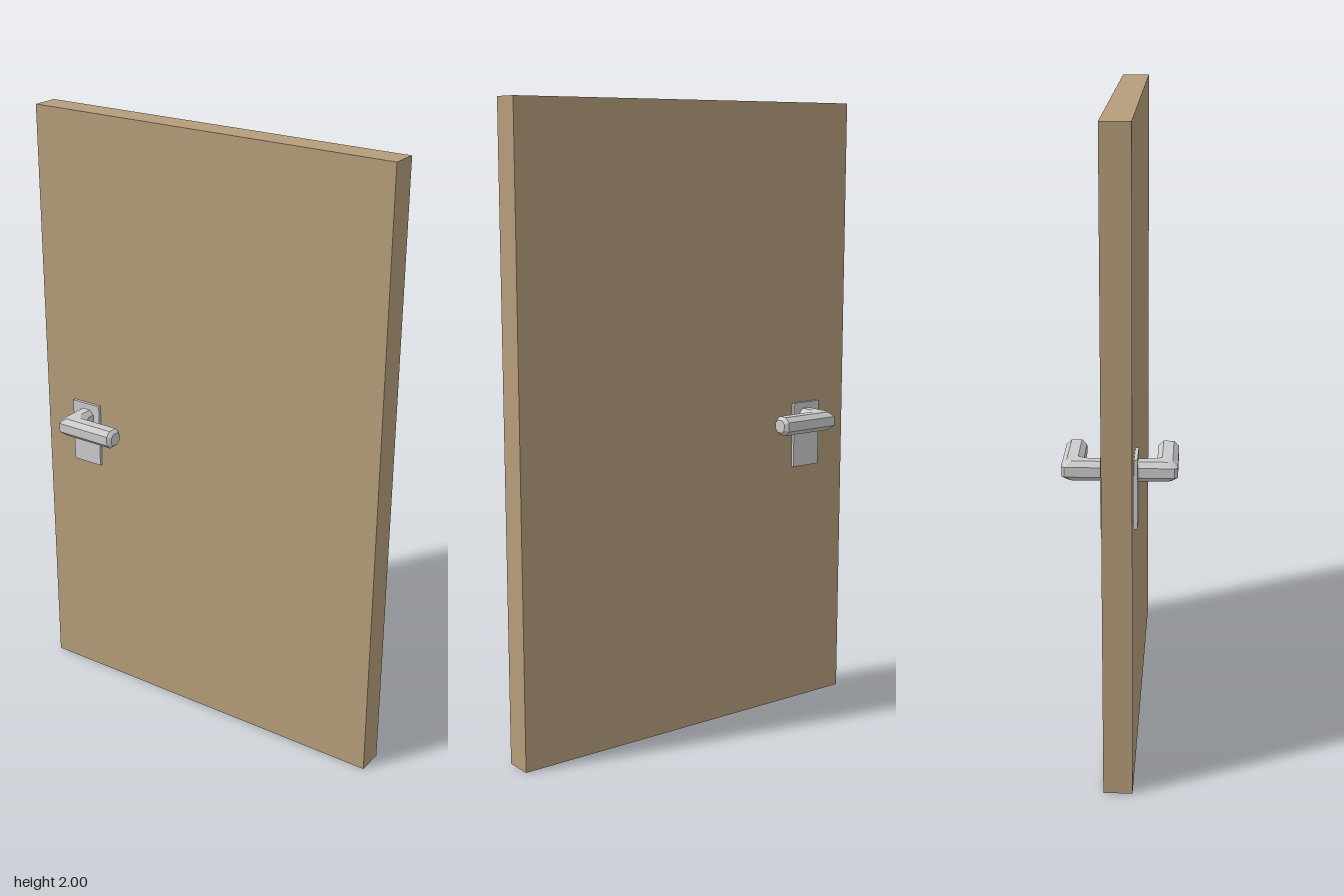
import * as THREE from 'three';

const wood = new THREE.MeshStandardMaterial({ color: 0xb59d7a });
const metal = new THREE.MeshStandardMaterial({ color: 0xcccccc, flatShading: true });

// Chamfered cross-section: [across, up], each from -1 to 1
const SECTION = [[1, -0.5], [1, 0.5], [0.5, 1], [-0.5, 1], [-1, 0.5], [-1, -0.5], [-0.5, -1], [0.5, -1]];

// Bent bar through stations [outerX, outerZ, innerX, innerZ, halfHeight], closed at its far end
function bentBar(stations) {
  const n = SECTION.length;
  const pos = [], index = [];
  for (const [ox, oz, ix, iz, h] of stations) {
    for (const [a, b] of SECTION) {
      pos.push((ox + ix) / 2 + (ix - ox) / 2 * a, h * b, (oz + iz) / 2 + (iz - oz) / 2 * a);
    }
  }
  const last = (stations.length - 1) * n;
  for (let s = 0; s < last; s += n) {
    for (let k = 0; k < n; k++) {
      const a = s + k, b = s + (k + 1) % n;
      index.push(a, b, b + n, a, b + n, a + n);
    }
  }
  for (let k = 1; k < n - 1; k++) index.push(last, last + k, last + k + 1);
  const indexed = new THREE.BufferGeometry();
  indexed.setAttribute('position', new THREE.Float32BufferAttribute(pos, 3));
  indexed.setIndex(index);
  const geometry = indexed.toNonIndexed();
  geometry.computeVertexNormals();
  return geometry;
}

function add(parent, name, geometry, material, x = 0, y = 0, z = 0) {
  const mesh = new THREE.Mesh(geometry, material);
  mesh.name = name;
  mesh.position.set(x, y, z);
  parent.add(mesh);
  return mesh;
}

export function createModel() {
  const model = new THREE.Group();
  model.name = 'door';

  // The whole door stands ajar
  const leaf = new THREE.Group();
  leaf.name = 'doorLeaf';
  leaf.position.z = -0.035;
  leaf.rotation.y = THREE.MathUtils.degToRad(18.5);
  model.add(leaf);

  add(leaf, 'doorPanel', new THREE.BoxGeometry(1.27, 2, 0.088), wood, 0, 1, 0);

  // Lever: spindle out of the door, mitred elbow, grip with a bevelled tip
  const lever = bentBar([
    [-0.495, 0.044, -0.437, 0.044, 0.03],
    [-0.495, 0.160, -0.437, 0.080, 0.03],
    [-0.487, 0.170, -0.420, 0.108, 0.03],
    [-0.290, 0.170, -0.290, 0.108, 0.03],
    [-0.278, 0.160, -0.278, 0.118, 0.02],
  ]);
  const plate = new THREE.BoxGeometry(0.108, 0.215, 0.01);

  // One set of hardware on each face
  for (const [side, s] of [['front', 1], ['back', -1]]) {
    add(leaf, side + 'Plate', plate, metal, -0.467, 0.918, s * 0.049);
    const handle = add(leaf, side + 'Handle', lever, metal, 0, 0.975, 0);
    if (s < 0) handle.rotation.x = Math.PI;
  }
  return model;
}
